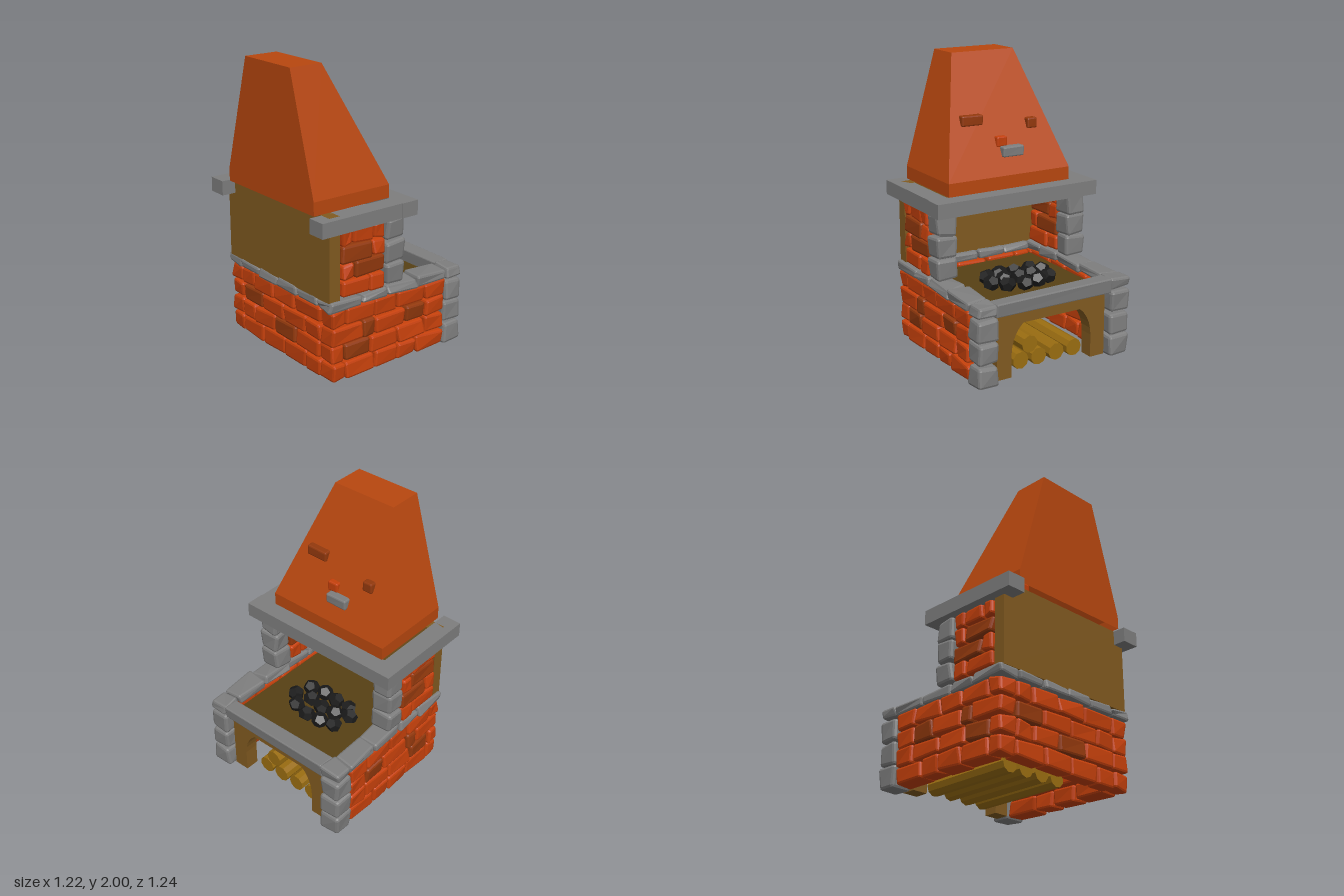
import * as THREE from 'three';
import { RoundedBoxGeometry } from 'three/addons/geometries/RoundedBoxGeometry.js';

const paint = (name, color) => {
  const m = new THREE.MeshStandardMaterial({ color });
  m.name = name;
  return m;
};

export function createModel() {
  const root = new THREE.Group();
  root.name = 'forge';
  const hoodRed = paint('hood red', 0xb8470f);
  hoodRed.side = THREE.DoubleSide;
  const brick = paint('brick orange', 0xc5400b);
  const darkBrick = paint('dark brick', 0x93390d);
  const stone = paint('grey stone', 0x7e7e7e);
  const clay = paint('tan clay', 0x815a20);
  const bedBrown = paint('bed brown', 0x574014);
  const coalBlack = paint('coal black', 0x1b1b1b);
  const wood = paint('log wood', 0x9a6d11);

  let seed = 7;
  const rand = () => (seed = (seed * 16807) % 2147483647) / 2147483647;
  const spread = (a) => (rand() * 2 - 1) * a;

  const group = (name) => {
    const g = new THREE.Group();
    g.name = name;
    root.add(g);
    return g;
  };
  const add = (parent, name, geo, mat) => {
    const m = new THREE.Mesh(geo, mat);
    m.name = name;
    parent.add(m);
    return m;
  };

  // Plain block from its limits
  const block = (parent, name, mat, x0, x1, y0, y1, z0, z1) => {
    const geo = new THREE.BoxGeometry(x1 - x0, y1 - y0, z1 - z0);
    geo.translate((x0 + x1) / 2, (y0 + y1) / 2, (z0 + z1) / 2);
    return add(parent, name, geo, mat);
  };

  // Chamfered block with its eight corners nudged, for bricks and stones
  const rough = (parent, name, mat, x0, x1, y0, y1, z0, z1, wobble = 0.008, bevel = 0.016) => {
    const geo = new RoundedBoxGeometry(x1 - x0, y1 - y0, z1 - z0, 1, bevel);
    const nudge = Array.from({ length: 8 }, () => [spread(wobble), spread(wobble), spread(wobble)]);
    const p = geo.attributes.position;
    for (let i = 0; i < p.count; i++) {
      const n = nudge[(p.getX(i) > 0 ? 1 : 0) + (p.getY(i) > 0 ? 2 : 0) + (p.getZ(i) > 0 ? 4 : 0)];
      p.setXYZ(i, p.getX(i) + n[0], p.getY(i) + n[1], p.getZ(i) + n[2]);
    }
    geo.computeVertexNormals();
    geo.translate((x0 + x1) / 2, (y0 + y1) / 2, (z0 + z1) / 2);
    return add(parent, name, geo, mat);
  };

  // Row of bricks: cuts are joints along the wall, dark lists the darker bricks
  const course = (parent, cuts, dark, y0, y1, along, c0, c1) => {
    for (let i = 0; i < cuts.length - 1; i++) {
      const a = cuts[i] + 0.004, b = cuts[i + 1] - 0.004;
      const mat = dark.includes(i) ? darkBrick : brick;
      if (along === 'x') rough(parent, 'brick', mat, a, b, y0, y1, c0, c1);
      else rough(parent, 'brick', mat, c0, c1, y0, y1, a, b);
    }
  };

  // Base side walls, coping stones, corner posts and hood posts, on both sides
  const lower = [
    [[-0.51, -0.4, -0.16, 0.04, 0.2, 0.45], []],
    [[-0.51, -0.41, -0.2, 0.04, 0.28, 0.45], [1]],
    [[-0.51, -0.26, -0.16, 0.1, 0.28, 0.45], [1, 3]],
    [[-0.51, -0.4, -0.16, 0.03, 0.27, 0.45], []],
  ];
  const upper = [
    [[-0.43, -0.2, -0.08], []],
    [[-0.43, -0.33, -0.08], [1]],
    [[-0.43, -0.18, -0.08], [0]],
    [[-0.43, -0.34, -0.18, -0.08], []],
  ];
  for (const side of [1, -1]) {
    const label = side > 0 ? 'front' : 'rear';
    const span = (a, b) => (side > 0 ? [a, b] : [-b, -a]);
    const wall = span(0.445, 0.575);
    const post = span(0.435, 0.583);
    const baseWall = group(label + 'BaseWall');
    lower.forEach(([cuts, dark], r) =>
      course(baseWall, cuts, dark, 0.01 + r * 0.123, 0.125 + r * 0.123, 'x', ...wall));
    const hoodWall = group(label + 'HoodWall');
    upper.forEach(([cuts, dark], r) =>
      course(hoodWall, cuts, dark, 0.57 + r * 0.115, 0.678 + r * 0.115, 'x', ...wall));
    const coping = group(label + 'Coping');
    const joints = [-0.53, -0.27, -0.06, 0.2, 0.46];
    for (let i = 0; i < 4; i++)
      rough(coping, 'copingStone', stone, joints[i], joints[i + 1] - 0.006, 0.495, 0.56, ...post, 0.011);
    const posts = group(label + 'Posts');
    for (let i = 0; i < 3; i++) {
      rough(posts, 'cornerStone', stone, 0.45, 0.598, 0.01 + i * 0.157, 0.155 + i * 0.157, ...post, 0.008, 0.02);
      rough(posts, 'hoodPostStone', stone, -0.07, 0.075, 0.57 + i * 0.152, 0.716 + i * 0.152, ...post, 0.008, 0.02);
    }
    rough(posts, 'cornerCap', stone, 0.46, 0.598, 0.485, 0.558, ...post, 0.01);
  }

  // Back base wall and its coping
  const back = group('backBaseWall');
  for (let r = 0; r < 4; r++) {
    const cuts = r % 2 ? [-0.44, -0.3, -0.07, 0.17, 0.44] : [-0.44, -0.2, 0.04, 0.28, 0.44];
    course(back, cuts, r === 1 ? [2] : r === 2 ? [0] : [], 0.01 + r * 0.123, 0.125 + r * 0.123, 'z', -0.51, -0.4);
  }
  for (let i = 0; i < 4; i++)
    rough(back, 'copingStone', stone, -0.53, -0.4, 0.495, 0.56, -0.43 + i * 0.215, -0.22 + i * 0.215);

  // Clay back wall, fire bed and front sill
  block(root, 'backWall', clay, -0.52, -0.44, 0.555, 1.12, -0.56, 0.56);
  block(root, 'fireBed', bedBrown, -0.42, 0.48, 0.4, 0.47, -0.44, 0.44);
  rough(root, 'frontSill', stone, 0.48, 0.588, 0.457, 0.56, -0.44, 0.44, 0.008, 0.008);

  // Clay arch over the log store
  const arch = new THREE.Shape();
  arch.moveTo(-0.42, 0.02);
  arch.lineTo(-0.31, 0.02);
  arch.lineTo(-0.31, 0.18);
  arch.quadraticCurveTo(-0.305, 0.31, -0.22, 0.38);
  arch.lineTo(0.22, 0.38);
  arch.quadraticCurveTo(0.305, 0.31, 0.31, 0.18);
  arch.lineTo(0.31, 0.02);
  arch.lineTo(0.42, 0.02);
  arch.lineTo(0.42, 0.457);
  arch.lineTo(-0.42, 0.457);
  const archGeo = new THREE.ExtrudeGeometry(arch, { depth: 0.1, bevelEnabled: false, curveSegments: 5 });
  archGeo.rotateY(-Math.PI / 2).translate(0.54, 0, 0);
  add(root, 'storeArch', archGeo, clay);

  // Logs
  const logs = group('logs');
  for (const [z, y] of [[0.19, 0.08], [0.05, 0.08], [-0.09, 0.08], [-0.23, 0.08], [0.12, 0.18]]) {
    let geo = new THREE.CylinderGeometry(0.06, 0.06, 0.7, 9).toNonIndexed();
    geo.computeVertexNormals();
    geo.rotateY(rand() * 2).rotateZ(Math.PI / 2).translate(0.11, y, z);
    add(logs, 'log', geo, wood);
  }

  // Coals heaped on the bed
  const coals = group('coals');
  const spots = [
    [0.19, -0.2], [0.22, -0.1], [0.23, 0.01], [0.2, 0.13], [0.12, 0.21], [0.1, -0.13], [0.11, -0.02],
    [0.09, 0.09], [0.06, -0.23], [0, -0.17], [-0.01, -0.05], [-0.02, 0.06], [0, 0.17],
  ];
  for (const [x, z] of spots) {
    const geo = new THREE.DodecahedronGeometry(0.058, 0);
    geo.rotateX(rand() * 3).rotateZ(rand() * 3).scale(1, 0.95, 1.05);
    geo.computeVertexNormals();
    geo.translate(x, 0.515, z);
    add(coals, 'coal', geo, coalBlack);
  }

  // Stone beams carrying the hood
  const beams = group('hoodBeams');
  block(beams, 'rearBeam', stone, -0.62, 0.02, 1.02, 1.12, -0.62, -0.485);
  block(beams, 'frontBeam', stone, -0.61, 0.02, 1.02, 1.12, 0.48, 0.61);
  block(beams, 'crossBeam', stone, 0.02, 0.15, 1.02, 1.12, -0.62, 0.615);

  // Tapered hood: three rectangular rings, open below and closed on top
  const rings = [[1.12, 0.03, 0.47], [1.21, 0.03, 0.47], [2, -0.33, 0.24]].map(([y, x, z]) =>
    [[-0.57, y, z], [x, y, z], [x, y, -z], [-0.57, y, -z]]);
  const tri = [];
  const quad = (a, b, c, d) => tri.push(...a, ...b, ...c, ...a, ...c, ...d);
  for (let r = 0; r < 2; r++)
    for (let i = 0; i < 4; i++) {
      const j = (i + 1) % 4;
      quad(rings[r][i], rings[r][j], rings[r + 1][j], rings[r + 1][i]);
    }
  quad(...rings[2]);
  const hoodGeo = new THREE.BufferGeometry();
  hoodGeo.setAttribute('position', new THREE.Float32BufferAttribute(tri, 3));
  hoodGeo.computeVertexNormals();
  add(root, 'hood', hoodGeo, hoodRed);

  // Bricks poking out of the hood
  const loose = group('hoodBricks');
  rough(loose, 'hoodBrick', darkBrick, -0.2, -0.105, 1.54, 1.61, 0.13, 0.29, 0.002, 0.01);
  rough(loose, 'hoodBrick', darkBrick, -0.18, -0.08, 1.485, 1.555, -0.28, -0.205, 0.002, 0.01);
  rough(loose, 'hoodBrick', brick, -0.14, -0.045, 1.39, 1.46, -0.02, 0.06, 0.002, 0.01);
  rough(loose, 'hoodStone', stone, -0.1, 0, 1.325, 1.395, -0.125, 0.035, 0.002, 0.01);

  return root;
}
